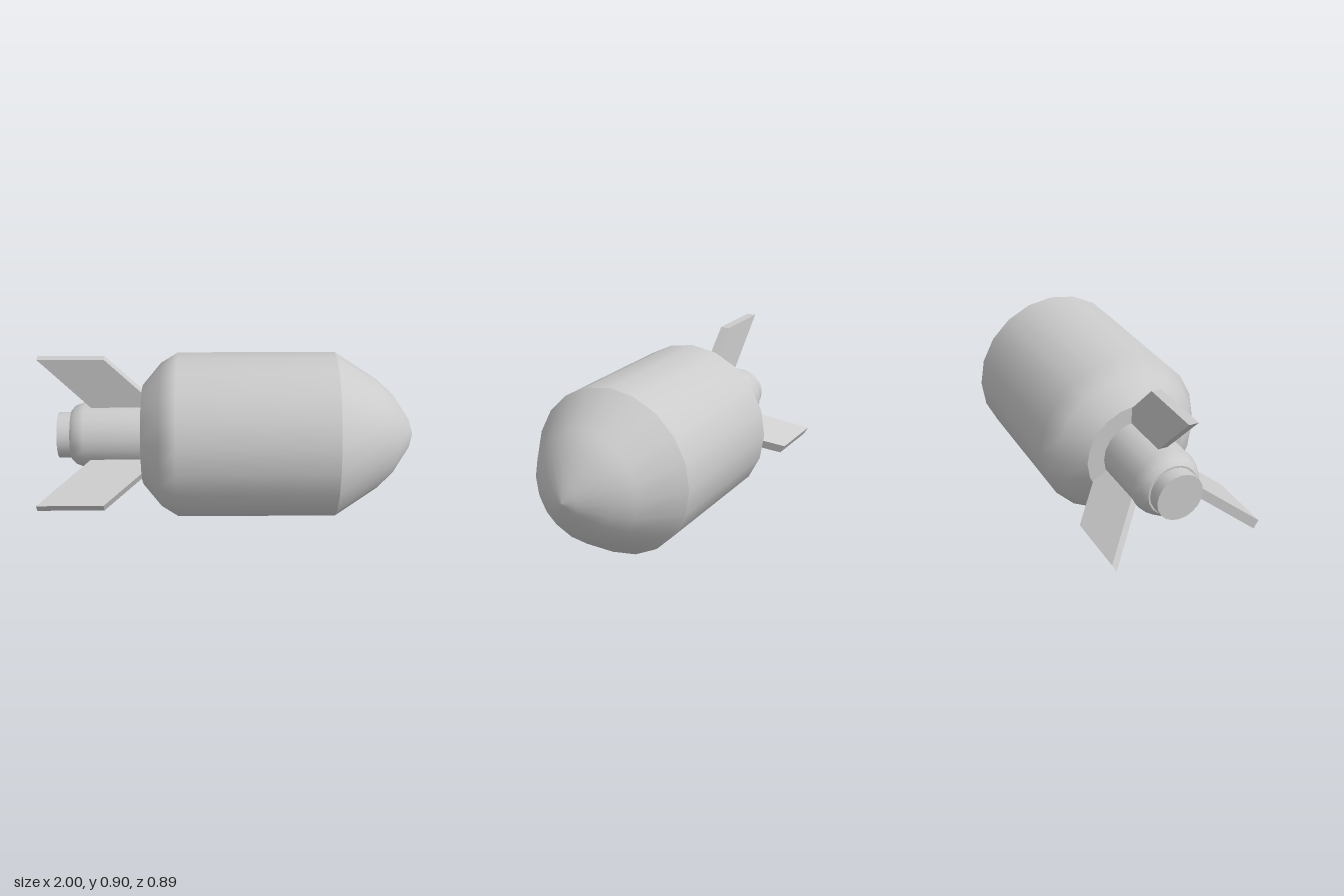
import * as THREE from 'three';

const AXIS_Y = 0.447;
const SIDES = 20;

export function createModel() {
  const model = new THREE.Group();
  model.name = 'finnedBomb';
  const material = new THREE.MeshStandardMaterial({ color: 0xcccccc });

  // Turned part around the x axis; profile is [x, radius] from tail to nose
  function turned(name, profile) {
    const points = profile.map(([x, r]) => new THREE.Vector2(r, x));
    const geometry = new THREE.LatheGeometry(points, SIDES);
    geometry.rotateZ(-Math.PI / 2);
    const mesh = new THREE.Mesh(geometry, material);
    mesh.name = name;
    mesh.position.y = AXIS_Y;
    model.add(mesh);
  }

  // Main casing, split where the edges are sharp
  turned('noseCone', [[0.57, 0.445], [0.8, 0.295], [0.89, 0.21], [0.975, 0.08], [1, 0]]);
  turned('bodyShell', [[-0.46, 0.27], [-0.36, 0.39], [-0.27, 0.445], [0.57, 0.445]]);
  turned('bodyRearPlate', [[-0.46, 0], [-0.46, 0.27]]);

  // Tail tube with rounded shoulder and end plug
  turned('tailTube', [[-0.845, 0.135], [-0.82, 0.16], [-0.77, 0.178], [-0.44, 0.178]]);
  turned('tailShoulderPlate', [[-0.845, 0], [-0.845, 0.135]]);
  turned('tailPlug', [[-0.915, 0.125], [-0.84, 0.125]]);
  turned('tailPlugCap', [[-0.915, 0], [-0.915, 0.125]]);

  // Three swept fins, rooted slightly inside the tube and casing
  const outline = [[-1, 0.453], [-0.71, 0.15], [-0.35, 0.15], [-0.65, 0.453]];
  const finShape = new THREE.Shape(outline.map(([x, r]) => new THREE.Vector2(x, r)));
  const thickness = 0.05;
  const finGeometry = new THREE.ExtrudeGeometry(finShape, { depth: thickness, bevelEnabled: false });
  finGeometry.translate(0, 0, -thickness / 2);
  for (let i = 0; i < 3; i++) {
    const fin = new THREE.Mesh(finGeometry, material);
    fin.name = ['topFin', 'frontFin', 'backFin'][i];
    fin.position.y = AXIS_Y;
    fin.rotation.x = (i * 2 * Math.PI) / 3;
    model.add(fin);
  }

  return model;
}
